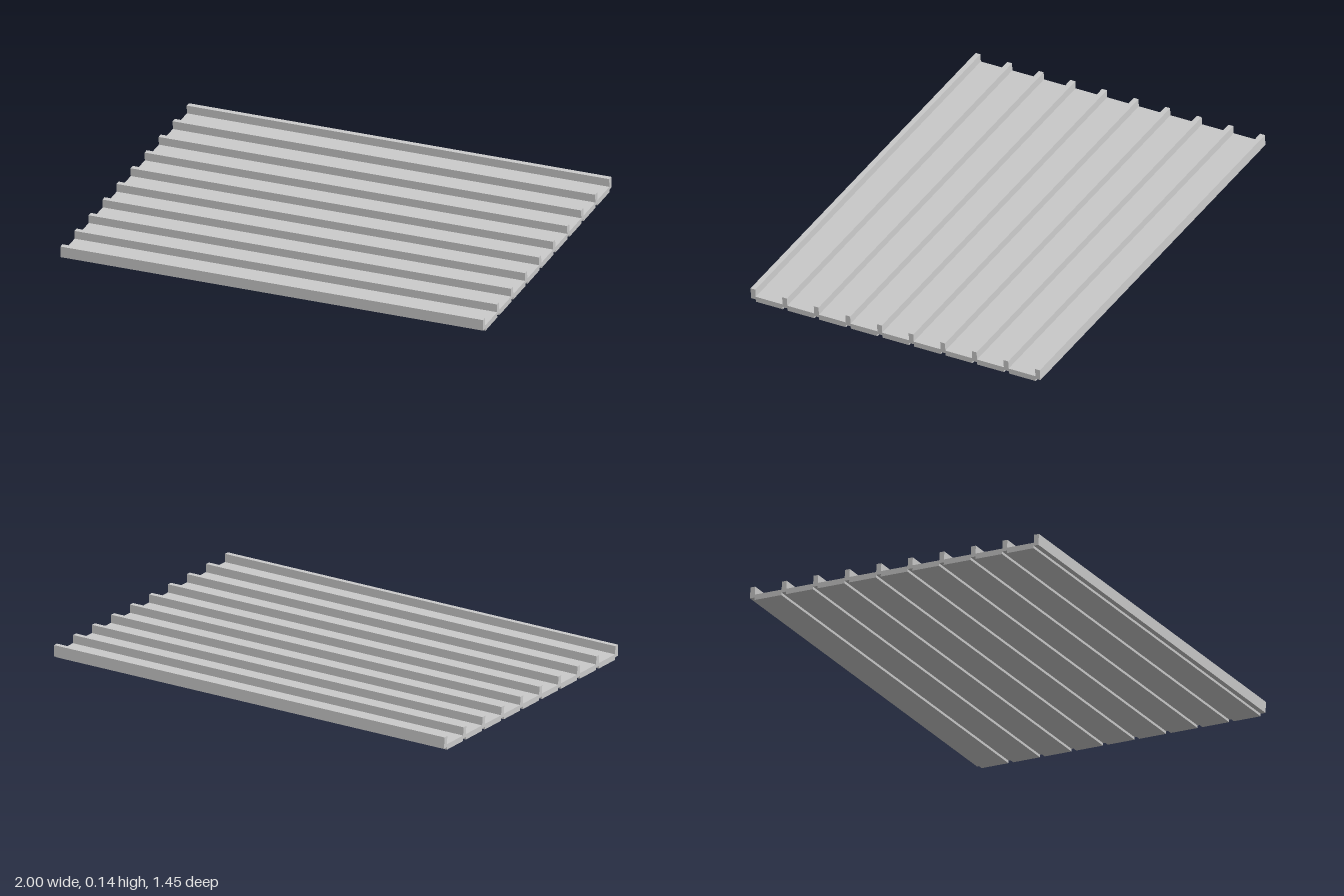
import * as THREE from 'three';

const material = new THREE.MeshStandardMaterial({ color: 0xcccccc, flatShading: true });

const WIDTH = 2;            // length of every plank and rib along x
const RIBS = 10;
const PITCH = 0.1587;       // rib spacing along the slope
const RIB_T = 0.024;
const RIB_BOTTOM = 0.012;   // ribs stop short of the underside, leaving grooves
const RIB_TOP = 0.064;
const PANEL_T = 0.026;
const SLOPE = 0.053;        // radians, rising towards the back

// Full-width bar between two heights, centred at s along the slope
function bar(name, depth, y0, y1, s) {
  const mesh = new THREE.Mesh(new THREE.BoxGeometry(WIDTH, y1 - y0, depth), material);
  mesh.name = name;
  mesh.position.set(0, (y0 + y1) / 2, s);
  return mesh;
}

export function createModel() {
  const model = new THREE.Group();
  model.name = 'ribbedRoofPanel';

  const slope = new THREE.Group();
  slope.name = 'slopedDeck';
  slope.rotation.x = SLOPE;
  const half = ((RIBS - 1) * PITCH) / 2;
  const panelDepth = PITCH - RIB_T;
  slope.position.set(0, (half - RIB_T / 2) * Math.sin(SLOPE), -0.002);

  for (let i = 0; i < RIBS; i++) {
    const s = half - i * PITCH;
    // Upright rib
    slope.add(bar('rib', RIB_T, RIB_BOTTOM, RIB_TOP, s));
    // Flat panel between this rib and the next
    if (i < RIBS - 1) slope.add(bar('panel', panelDepth, 0, PANEL_T, s - PITCH / 2));
  }

  model.add(slope);
  return model;
}
